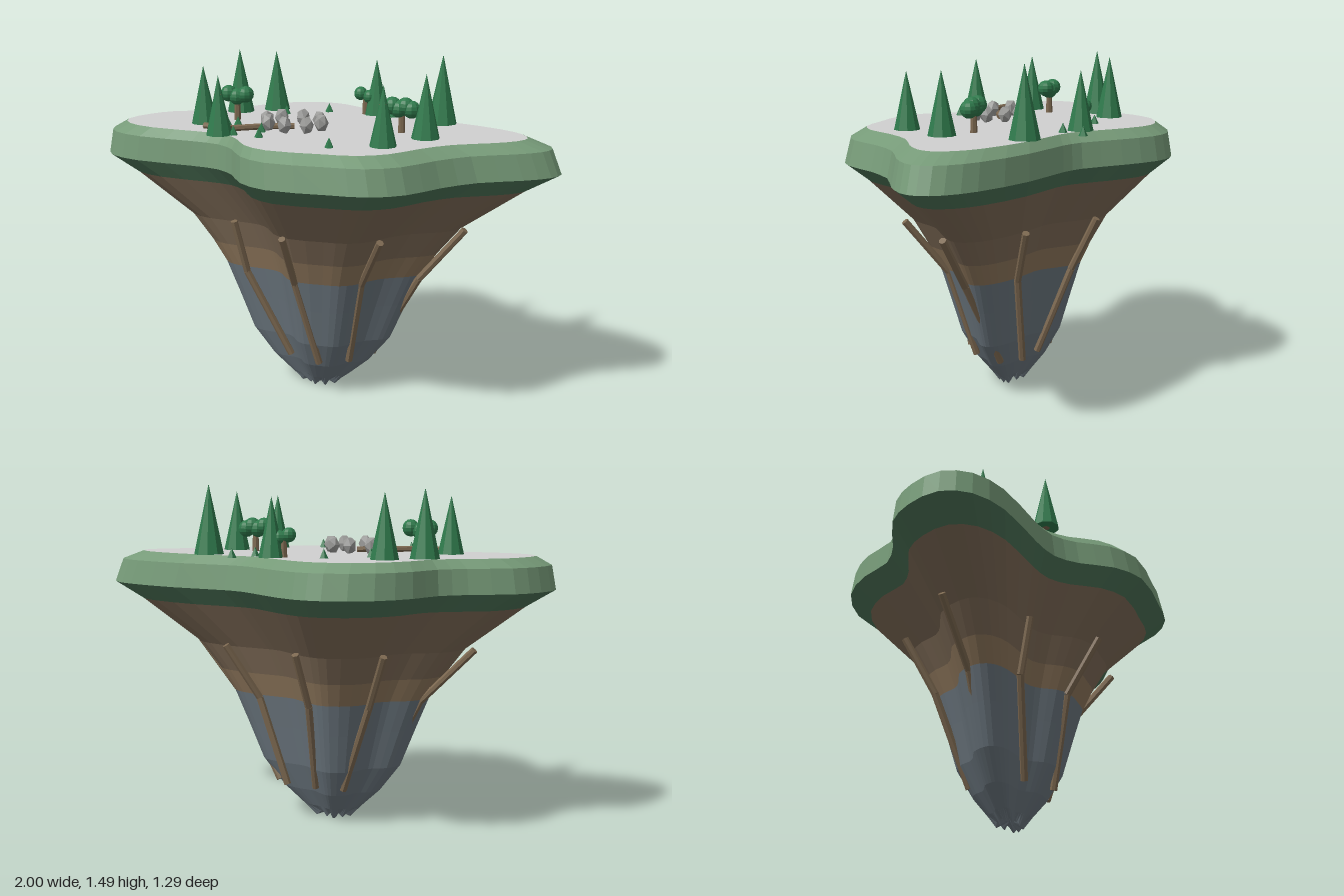
import * as THREE from 'three';

const mat = (name, color, extra = {}) => {
  const m = new THREE.MeshStandardMaterial({ color, flatShading: true, ...extra });
  m.name = name;
  return m;
};

// Island outline seen from above (x, z), running from +x towards +z
const OUTLINE = [
  [1.0, -0.07], [0.975, 0.01], [0.88, 0.1], [0.72, 0.21], [0.61, 0.35], [0.52, 0.51],
  [0.4, 0.6], [0.24, 0.625], [-0.02, 0.64], [-0.16, 0.57], [-0.26, 0.45], [-0.36, 0.38],
  [-0.5, 0.36], [-0.77, 0.35], [-0.93, 0.29], [-1.0, 0.18], [-0.97, 0.03], [-0.89, -0.09],
  [-0.72, -0.19], [-0.62, -0.28], [-0.56, -0.43], [-0.45, -0.57], [-0.26, -0.65],
  [-0.13, -0.63], [0.03, -0.53], [0.19, -0.41], [0.3, -0.37], [0.56, -0.33],
  [0.83, -0.24], [0.95, -0.16],
];
const SEGMENTS = 60;
const ring = new THREE.CatmullRomCurve3(
  OUTLINE.map(([x, z]) => new THREE.Vector3(x, 0, z)), true).getPoints(SEGMENTS);

// Skin between scaled copies of the outline; each level is [y, scale, xShift, crinkle]
function loft(levels) {
  const pos = [], index = [], n = SEGMENTS;
  for (const [y, s, dx = 0, crinkle = 0] of levels) {
    for (let j = 0; j < n; j++) {
      const p = ring[j];
      pos.push(p.x * s - 0.05 * (1 - s) + dx,
        y + crinkle * Math.cos(j * Math.PI * 0.3),
        p.z * s + 0.02 * (1 - s));
    }
  }
  for (let i = 0; i < levels.length - 1; i++) {
    for (let j = 0; j < n; j++) {
      const k = (j + 1) % n, a = i * n + j, b = i * n + k;
      index.push(a, a + n, b + n, a, b + n, b);
    }
  }
  const g = new THREE.BufferGeometry();
  g.setAttribute('position', new THREE.Float32BufferAttribute(pos, 3));
  g.setIndex(index);
  g.computeVertexNormals();
  return g;
}

export function createModel() {
  const model = new THREE.Group();
  model.name = 'floatingIsland';
  const grass = mat('grass green', 0x769a78);
  const turf = mat('dark turf green', 0x4c7256);
  const soil = mat('soil brown', 0x7d6a56);
  const clay = mat('clay tan', 0x8c755a);
  const stone = mat('stone grey', 0x69747c);
  const ground = mat('ground light grey', 0xd0d0d0);
  const leaf = mat('foliage green', 0x2f7a4c);
  const bark = mat('bark brown', 0x7c6850);
  const rock = mat('rock grey', 0x9a9a98);

  const add = (name, geometry, material, x = 0, y = 0, z = 0, parent = model) => {
    const m = new THREE.Mesh(geometry, material);
    m.name = name;
    m.position.set(x, y, z);
    parent.add(m);
    return m;
  };

  // Island body in coloured layers, bottom to top
  add('stoneBase', loft([[0.03, 0], [0.012, 0.08, 0, 0.012], [0.05, 0.13], [0.13, 0.22],
    [0.25, 0.315], [0.42, 0.385], [0.56, 0.445]]), stone);
  add('clayLayer', loft([[0.56, 0.445], [0.66, 0.51]]), clay);
  add('soilLayer', loft([[0.66, 0.51], [0.78, 0.605], [0.97, 0.87]]), soil);
  add('turfLayer', loft([[0.97, 0.87], [1.045, 1]]), turf);
  add('grassRim', loft([[1.045, 1], [1.15, 0.97, -0.01], [1.188, 0.885, -0.025]]), grass);
  add('groundPlate', loft([[1.188, 0.885, -0.025], [1.189, 0, 0]]), ground);

  // Rods laid along a bent path
  const up = new THREE.Vector3(0, 1, 0);
  function bentRod(name, points, radius) {
    const group = new THREE.Group();
    group.name = name;
    const pts = points.map((p) => new THREE.Vector3(...p));
    for (let i = 0; i < pts.length - 1; i++) {
      const d = pts[i + 1].clone().sub(pts[i]);
      const mid = pts[i].clone().addScaledVector(d, 0.5);
      const rod = add(name + 'Piece', new THREE.CylinderGeometry(radius, radius, d.length(), 7),
        bark, mid.x, mid.y, mid.z, group);
      rod.quaternion.setFromUnitVectors(up, d.normalize());
    }
    model.add(group);
  }

  // Roots hanging down the flanks: x, z at the top, bend and tip
  [
    [-0.04, 0.44, -0.05, 0.29, 0.02, 0.19],
    [0.355, 0.34, 0.22, 0.2, 0.13, 0.11],
    [0.62, 0.02, 0.42, 0.02, 0.19, -0.035],
    [0.36, -0.23, 0.24, -0.14, 0.12, -0.11],
    [-0.04, -0.39, -0.05, -0.27, -0.02, -0.12],
    [-0.4, -0.31, -0.3, -0.21, -0.15, -0.12],
    [-0.69, 0.03, -0.45, 0.03, -0.25, 0.02],
    [-0.35, 0.26, -0.32, 0.2, -0.14, 0.13],
  ].forEach(([ax, az, bx, bz, cx, cz]) =>
    bentRod('root', [[ax, 0.79, az], [bx, 0.55, bz], [cx, 0.16, cz]], 0.016));

  // Fallen branch on the ground
  bentRod('fallenBranch', [[-0.49, 1.2, 0.245], [-0.35, 1.2, 0.26],
    [-0.25, 1.2, 0.175], [-0.125, 1.2, 0.11]], 0.014);

  // Conifers: x, z, radius, top height
  const BASE = 1.187;
  [
    [-0.535, -0.2, 0.063, 1.475], [-0.4, -0.31, 0.06, 1.46], [0.08, -0.355, 0.056, 1.44],
    [0.425, -0.25, 0.066, 1.49], [-0.548, 0.135, 0.058, 1.44], [0.462, 0.1, 0.06, 1.455],
    [0.355, 0.32, 0.056, 1.435], [-0.367, 0.345, 0.056, 1.435],
  ].forEach(([x, z, r, top]) => {
    const tree = new THREE.Group(), h = top - BASE;
    tree.name = 'conifer';
    tree.position.set(x, BASE, z);
    add('coniferFoliage', new THREE.ConeGeometry(r, h, 9), leaf, 0, h / 2, 0, tree);
    add('coniferTrunk', new THREE.CylinderGeometry(r * 0.3, r * 0.3, h * 0.7, 6), bark,
      0, h * 0.35, 0, tree);
    model.add(tree);
  });

  // Round trees: trunk with a row of leaf balls
  [
    [-0.45, 0.005, 1.3, 0.037, [-0.042, 0, 0.042]],
    [0.33, 0.02, 1.297, 0.038, [-0.042, -0.012, 0.016, 0.044]],
    [0.03, -0.345, 1.278, 0.031, [-0.024, 0.02]],
  ].forEach(([x, z, y, r, offsets]) => {
    const tree = new THREE.Group();
    tree.name = 'roundTree';
    tree.position.set(x, BASE, z);
    const h = y - BASE;
    add('roundTreeTrunk', new THREE.CylinderGeometry(0.012, 0.016, h, 7), bark, 0, h / 2, 0, tree);
    offsets.forEach((dx, i) => add('leafBall', new THREE.SphereGeometry(r, 10, 8), leaf,
      dx, h + (i % 2 ? -0.008 : 0.004), 0, tree));
    model.add(tree);
  });

  // Saplings
  [
    [-0.145, -0.335], [-0.305, -0.21], [0.175, -0.315], [0.23, -0.425], [-0.385, 0.13],
    [-0.41, 0.175], [-0.225, 0.23], [-0.185, 0.34], [-0.305, 0.335], [0.165, 0.425],
  ].forEach(([x, z]) =>
    add('sapling', new THREE.ConeGeometry(0.02, 0.042, 5), leaf, x, BASE + 0.021, z));

  // Ring of standing rocks
  for (let i = 0; i < 8; i++) {
    const a = i * Math.PI / 4;
    const m = add('standingRock', new THREE.IcosahedronGeometry(0.032, 0), rock,
      -0.125 + 0.127 * Math.cos(a), 1.222, 0.115 + 0.1 * Math.sin(a));
    m.scale.y = 1.3;
    m.rotation.y = i * 1.3;
  }
  return model;
}
